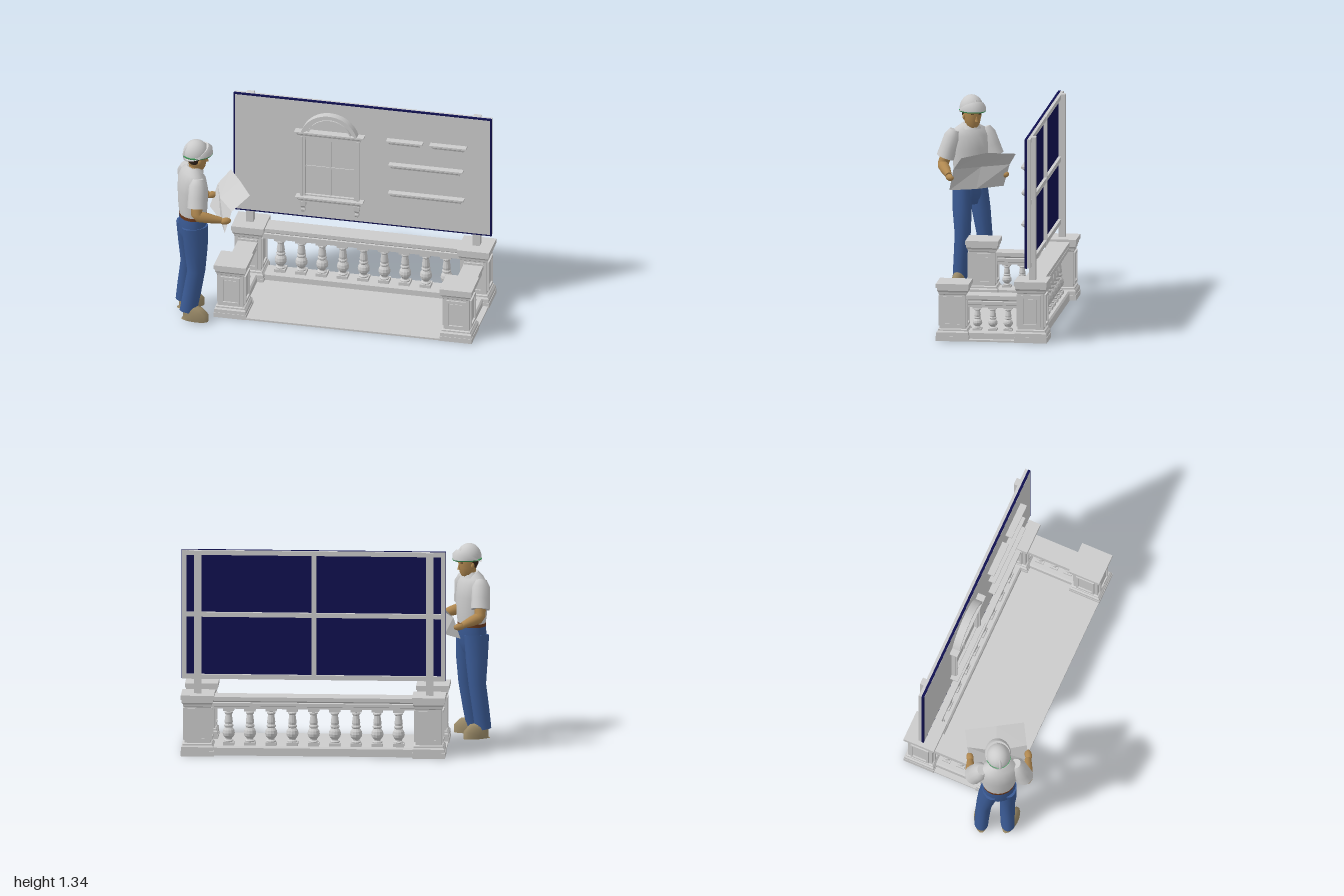
import * as THREE from 'three';

const V = (x, y, z) => new THREE.Vector3(x, y, z);
const flat = new THREE.MeshStandardMaterial({ color: 0xcccccc, flatShading: true, side: THREE.DoubleSide });
const smooth = new THREE.MeshStandardMaterial({ color: 0xcccccc });
const tint = (color) => new THREE.MeshStandardMaterial({ color });
const navy = tint(0x101050), denim = tint(0x3a5a94), skin = tint(0xb08850);
const tan = tint(0x9a8a68), hair = tint(0x33241a), leather = tint(0x6b3a1e), green = tint(0x3f9a5a);

function add(parent, name, geo, mat, x = 0, y = 0, z = 0) {
  const m = new THREE.Mesh(geo, mat);
  m.name = name;
  m.position.set(x, y, z);
  parent.add(m);
  return m;
}

// box given by its limits
const block = (p, name, x0, x1, y0, y1, z0, z1, mat = flat) =>
  add(p, name, new THREE.BoxGeometry(x1 - x0, y1 - y0, z1 - z0), mat, (x0 + x1) / 2, (y0 + y1) / 2, (z0 + z1) / 2);

// closed skin over a row of equal rings
function loft(rings) {
  const n = rings[0].length, pos = [], idx = [];
  rings.flat().forEach((v) => pos.push(v.x, v.y, v.z));
  for (let r = 0; r < rings.length - 1; r++) for (let i = 0; i < n; i++) {
    const a = r * n + i, b = r * n + (i + 1) % n;
    idx.push(a, b, a + n, b, b + n, a + n);
  }
  [rings[0], rings[rings.length - 1]].forEach((ring, end) => {
    const c = pos.length / 3, mid = V(0, 0, 0);
    ring.forEach((v) => { mid.addScaledVector(v, 1 / n); pos.push(v.x, v.y, v.z); });
    pos.push(mid.x, mid.y, mid.z);
    for (let i = 0; i < n; i++) {
      const a = c + i, b = c + (i + 1) % n;
      end ? idx.push(c + n, a, b) : idx.push(c + n, b, a);
    }
  });
  const g = new THREE.BufferGeometry();
  g.setAttribute('position', new THREE.Float32BufferAttribute(pos, 3));
  g.setIndex(idx);
  g.computeVertexNormals();
  return g;
}

// rectangular moulding: profile of [height, offset]; a wall moulding keeps its back flat
const stack = (hx, hz, profile, wall = false) => loft(profile.map(([y, o]) => {
  const x = hx + o, f = hz + o, b = wall ? -hz : -f;
  return [V(x, y, f), V(x, y, b), V(-x, y, b), V(-x, y, f)];
}));

// body part through points [x, y, z, half width, half depth]
function limb(pts, sides = 14) {
  const c = pts.map((p) => V(p[0], p[1], p[2]));
  return loft(pts.map((p, i) => {
    const t = c[Math.min(i + 1, c.length - 1)].clone().sub(c[Math.max(i - 1, 0)]).normalize();
    const a = V(1, 0, 0).addScaledVector(t, -t.x).normalize(), b = t.clone().cross(a);
    return Array.from({ length: sides }, (_, k) => {
      const w = k / sides * Math.PI * 2;
      return c[i].clone().addScaledVector(a, Math.cos(w) * p[3]).addScaledVector(b, Math.sin(w) * p[4]);
    });
  }));
}

function rectShape(hw, y0, y1, Type = THREE.Shape) {
  return new Type([[-hw, y0], [hw, y0], [hw, y1], [-hw, y1]].map((p) => new THREE.Vector2(...p)));
}
const extrude = (s, depth) => new THREE.ExtrudeGeometry(s, { depth, bevelEnabled: false, curveSegments: 24 });

function pillar(parent, x, z, height) {
  const g = new THREE.Group();
  g.name = 'pillar';
  g.position.set(x, 0, z);
  g.scale.y = height / 0.4;
  parent.add(g);
  add(g, 'pillarBody', stack(0.085, 0.085, [[0, 0.022], [0.035, 0.022], [0.035, 0.019], [0.06, 0.019], [0.07, 0.01],
    [0.08, 0.01], [0.085, 0], [0.32, 0], [0.325, 0.006], [0.34, 0.008], [0.352, 0.016], [0.37, 0.016], [0.37, 0.022], [0.4, 0.022]]), flat);
  const frame = rectShape(0.063, 0.1, 0.31);
  frame.holes.push(rectShape(0.048, 0.118, 0.292, THREE.Path));
  for (let i = 0; i < 4; i++) {
    const side = new THREE.Group();
    side.name = 'panelSide';
    side.rotation.y = i * Math.PI / 2;
    g.add(side);
    add(side, 'panelFrame', extrude(frame, 0.012), flat, 0, 0, 0.084);
    add(side, 'panelField', extrude(rectShape(0.04, 0.128, 0.282), 0.005), flat, 0, 0, 0.084);
  }
}

// baluster of unit height
const balusterGeo = new THREE.LatheGeometry([[0, 0.08], [0.031, 0.08], [0.032, 0.12], [0.021, 0.15], [0.022, 0.18], [0.036, 0.25],
  [0.04, 0.32], [0.036, 0.4], [0.024, 0.47], [0.03, 0.5], [0.03, 0.53], [0.024, 0.56], [0.027, 0.62], [0.02, 0.82],
  [0.027, 0.85], [0.027, 0.88], [0.02, 0.9], [0.03, 0.93], [0, 0.93]].map((p) => new THREE.Vector2(...p)), 12);

function balustrade(parent, x, z, hx, hz, top, count, first, step, slim) {
  const g = new THREE.Group(), along = hx > hz ? 'x' : 'z';
  g.name = 'balustrade';
  g.position.set(x, 0, z);
  parent.add(g);
  add(g, 'bottomRail', stack(hx, hz, [[0, 0.01], [0.05, 0.01], [0.06, 0]]), flat);
  add(g, 'topRail', stack(hx, hz, [[-0.08, -0.008], [-0.065, -0.008], [-0.06, 0.004], [-0.04, 0.004], [-0.035, -0.003],
    [-0.025, 0.01], [0, 0.01]]), flat, 0, top, 0);
  const h = top - 0.138;
  for (let i = 0; i < count; i++) {
    const b = new THREE.Group();
    b.name = 'baluster';
    b.position.y = 0.059;
    b.position[along] = first + i * step;
    b.scale.set(slim, h, slim);
    g.add(b);
    add(b, 'turnedShaft', balusterGeo, flat);
    block(b, 'foot', -0.036, 0.036, 0, 0.09, -0.036, 0.036);
    block(b, 'capital', -0.036, 0.036, 0.92, 1, -0.036, 0.036);
  }
}

const corniceProfile = [[0, 0], [0.01, 0], [0.014, 0.008], [0.024, 0.012], [0.032, 0.024], [0.036, 0.024], [0.036, 0.028], [0.046, 0.028]];

function signBoard(parent) {
  const g = new THREE.Group();
  g.name = 'displayBoard';
  parent.add(g);
  block(g, 'boardFace', -0.706, 0.986, 0.498, 1.331, -0.345, -0.33);
  block(g, 'boardEdge', -0.715, 0.995, 0.489, 1.34, -0.347, -0.331, navy);
  // timber frame behind the board
  for (const x of [-0.713, 0.124, 0.963]) block(g, 'upright', x, x + 0.03, 0.49, 1.338, -0.367, -0.346);
  for (const y of [0.49, 0.9, 1.308]) block(g, 'crossRail', -0.713, 0.993, y, y + 0.03, -0.366, -0.346);
  for (const x of [-0.612, 0.89]) block(g, 'post', x - 0.024, x + 0.024, 0.39, 1.338, -0.392, -0.347);
  // sample mouldings
  for (const [x0, x1, y] of [[0.305, 0.545, 1.082], [0.592, 0.835, 1.082], [0.32, 0.812, 0.908], [0.318, 0.818, 0.703]])
    add(g, 'sampleMoulding', stack((x1 - x0) / 2 - 0.028, 0.01, corniceProfile, true), flat, (x0 + x1) / 2, y, -0.323);
}

function sampleWindow(parent) {
  const g = new THREE.Group();
  g.name = 'sampleWindow';
  g.position.set(-0.072, 0, -0.332);
  parent.add(g);
  // arch of stepped bands
  for (const [outer, inner, depth] of [[0.195, 0.148, 0.03], [0.195, 0.178, 0.053], [0.178, 0.168, 0.042], [0.157, 0.148, 0.04]]) {
    const s = new THREE.Shape(), a = Math.asin(0.055 / outer), b = Math.asin(0.055 / inner);
    s.absarc(0, 1.07, outer, a, Math.PI - a, false);
    s.absarc(0, 1.07, inner, Math.PI - b, b, true);
    add(g, 'archBand', extrude(s, depth), flat);
  }
  add(g, 'cornice', stack(0.202, 0.014, corniceProfile, true), flat, 0, 1.085, 0.014);
  add(g, 'sill', stack(0.196, 0.014, corniceProfile, true), flat, 0, 0.61, 0.014);
  for (const s of [-1, 1]) {
    block(g, 'casing', s * 0.18 - 0.017, s * 0.18 + 0.017, 0.65, 1.09, 0, 0.026);
    block(g, 'casingBead', s * 0.186 - 0.006, s * 0.186 + 0.006, 0.65, 1.09, 0, 0.036);
    add(g, 'bracket', stack(0.012, 0.01, [[0, -0.004], [0.01, 0.002], [0.02, 0.002], [0.03, -0.002], [0.045, 0.006], [0.08, 0.008]], true),
      flat, s * 0.178, 0.534, 0.012);
  }
  block(g, 'head', -0.165, 0.165, 1.065, 1.09, 0, 0.02);
  block(g, 'lowerRail', -0.165, 0.165, 0.65, 0.665, 0, 0.02);
  block(g, 'verticalGlazingBar', -0.006, 0.006, 0.66, 1.07, 0, 0.008);
  block(g, 'horizontalGlazingBar', -0.165, 0.165, 0.858, 0.87, 0, 0.008);
}

function worker(parent) {
  const g = new THREE.Group();
  g.name = 'worker';
  g.position.set(-0.85, 0, 0.26);
  g.rotation.y = 2.14;
  parent.add(g);
  // clothes
  add(g, 'shirt', limb([[0, 0.735, 0, 0.1, 0.083], [0, 0.8, 0, 0.113, 0.092], [0, 0.93, 0, 0.125, 0.096],
    [0, 1.01, -0.005, 0.13, 0.085], [0, 1.055, -0.005, 0.105, 0.062], [0, 1.085, 0.005, 0.05, 0.046]], 18), smooth);
  add(g, 'collar', limb([[0, 1.055, 0.008, 0.07, 0.062], [0, 1.075, 0.008, 0.056, 0.054], [0, 1.09, 0.008, 0.046, 0.046]]), smooth);
  add(g, 'belt', limb([[0, 0.735, 0, 0.104, 0.087], [0, 0.757, 0, 0.106, 0.089]], 18), leather);
  add(g, 'hips', limb([[0, 0.56, -0.005, 0.09, 0.06], [0, 0.63, -0.005, 0.112, 0.09], [0, 0.738, 0, 0.103, 0.086]], 18), denim);
  add(g, 'rightTrouserLeg', limb([[-0.055, 0.68, -0.005, 0.058, 0.088], [-0.058, 0.52, 0, 0.058, 0.078],
    [-0.056, 0.36, 0.003, 0.05, 0.06], [-0.052, 0.2, -0.025, 0.048, 0.06], [-0.05, 0.07, -0.05, 0.045, 0.058]]), denim);
  add(g, 'leftTrouserLeg', limb([[0.055, 0.68, -0.005, 0.058, 0.088], [0.075, 0.52, 0.005, 0.058, 0.076],
    [0.095, 0.36, 0.012, 0.05, 0.06], [0.11, 0.2, -0.005, 0.047, 0.058], [0.119, 0.07, -0.018, 0.045, 0.056]]), denim);
  for (const [name, x, z, turn] of [['rightShoe', -0.05, -0.05, -0.67], ['leftShoe', 0.119, -0.018, -0.1]])
    add(g, name, limb([[0, 0.012, 0.045, 0.04, 0.092], [0, 0.035, 0.045, 0.044, 0.095], [0, 0.06, 0.03, 0.042, 0.078],
      [0, 0.085, 0.008, 0.038, 0.05], [0, 0.11, 0, 0.034, 0.042]]), tan, x, 0, z).rotation.y = turn;
  // arms holding the plan
  for (const [side, s, elbow, hand] of [['right', -1, [-0.178, 0.82, -0.04], [-0.215, 0.77, 0.145]], ['left', 1, [0.178, 0.82, 0.04], [0.16, 0.77, 0.185]]]) {
    const mix = (k) => elbow.map((e, i) => e + (hand[i] - e) * k);
    const sh = [s * 0.115, 1.03, -0.005], at = (k) => sh.map((e, i) => e + (elbow[i] - e) * k);
    add(g, side + 'Sleeve', limb([[...at(-0.1), 0.035, 0.035], [...at(0.1), 0.055, 0.06], [...at(0.45), 0.056, 0.062], [...at(0.76), 0.058, 0.064]]), smooth);
    add(g, side + 'Arm', limb([[...at(0.65), 0.036, 0.038], [...at(0.95), 0.035, 0.036], [...mix(0.08), 0.035, 0.037],
      [...mix(0.4), 0.033, 0.033], [...mix(0.85), 0.021, 0.021]]), skin);
    add(g, side + 'Hand', new THREE.SphereGeometry(0.028, 12, 8), skin, ...hand).scale.set(0.85, 0.8, 1.4);
  }
  // head and helmet
  add(g, 'neck', limb([[0, 1.05, 0.005, 0.04, 0.04], [0, 1.13, 0.022, 0.038, 0.042]]), skin);
  add(g, 'head', limb([[0, 1.062, 0.05, 0.022, 0.024], [0, 1.08, 0.045, 0.04, 0.042], [0, 1.115, 0.033, 0.052, 0.06],
    [0, 1.16, 0.03, 0.057, 0.066], [0, 1.21, 0.03, 0.056, 0.066]]), skin);
  add(g, 'nose', new THREE.ConeGeometry(0.012, 0.04, 6), skin, 0, 1.132, 0.096);
  add(g, 'hair', limb([[0, 1.115, 0.0, 0.04, 0.03], [0, 1.14, 0.008, 0.059, 0.046], [0, 1.19, 0.01, 0.062, 0.055]]), hair);
  for (const s of [-1, 1]) {
    add(g, 'ear', new THREE.SphereGeometry(0.016, 8, 6), skin, s * 0.058, 1.138, 0.025).scale.set(0.5, 1.2, 0.8);
    add(g, 'eyebrow', new THREE.BoxGeometry(0.024, 0.005, 0.008), hair, s * 0.023, 1.158, 0.088);
  }
  add(g, 'helmetShell', new THREE.SphereGeometry(0.079, 24, 10, 0, Math.PI * 2, 0, Math.PI / 2), smooth, 0, 1.183, 0.02).scale.set(0.98, 1.2, 1.06);
  add(g, 'helmetRidge', new THREE.TorusGeometry(0.08, 0.011, 8, 20, Math.PI), smooth, 0, 1.183, 0.02).rotation.y = Math.PI / 2;
  add(g, 'helmetBrim', limb([[0, 1.176, 0.034, 0.083, 0.1], [0, 1.184, 0.034, 0.085, 0.102], [0, 1.198, 0.026, 0.078, 0.088]], 24), smooth);
  add(g, 'helmetBrimLining', limb([[0, 1.171, 0.034, 0.081, 0.098], [0, 1.178, 0.034, 0.084, 0.101]], 24), green);
}

export function createModel() {
  const root = new THREE.Group();
  root.name = 'balustradeDisplay';
  block(root, 'floor', -0.71, 0.99, 0, 0.012, -0.43, 0.245);
  for (const x of [-0.608, 0.888]) {
    pillar(root, x, -0.367, 0.4);
    pillar(root, x, 0.142, 0.376);
    balustrade(root, x, -0.115, 0.055, 0.2, 0.296, 3, 0.105, -0.1, 0.78);
  }
  balustrade(root, 0.14, -0.367, 0.7, 0.055, 0.385, 9, -0.55, 0.1375, 1);
  signBoard(root);
  sampleWindow(root);
  worker(root);
  // creased plan sheet: bottom, middle and top rows
  const plan = new THREE.PlaneGeometry(1, 1, 2, 2);
  plan.attributes.position.array.set([
    -0.47, 0.925, 0.27, -0.57, 0.945, 0.12, -0.67, 0.925, -0.06,
    -0.575, 0.83, 0.335, -0.69, 0.83, 0.17, -0.745, 0.84, -0.01,
    -0.615, 0.685, 0.367, -0.68, 0.685, 0.2, -0.79, 0.69, 0.035]);
  plan.computeVertexNormals();
  add(root, 'planSheet', plan, flat);
  return root;
}
